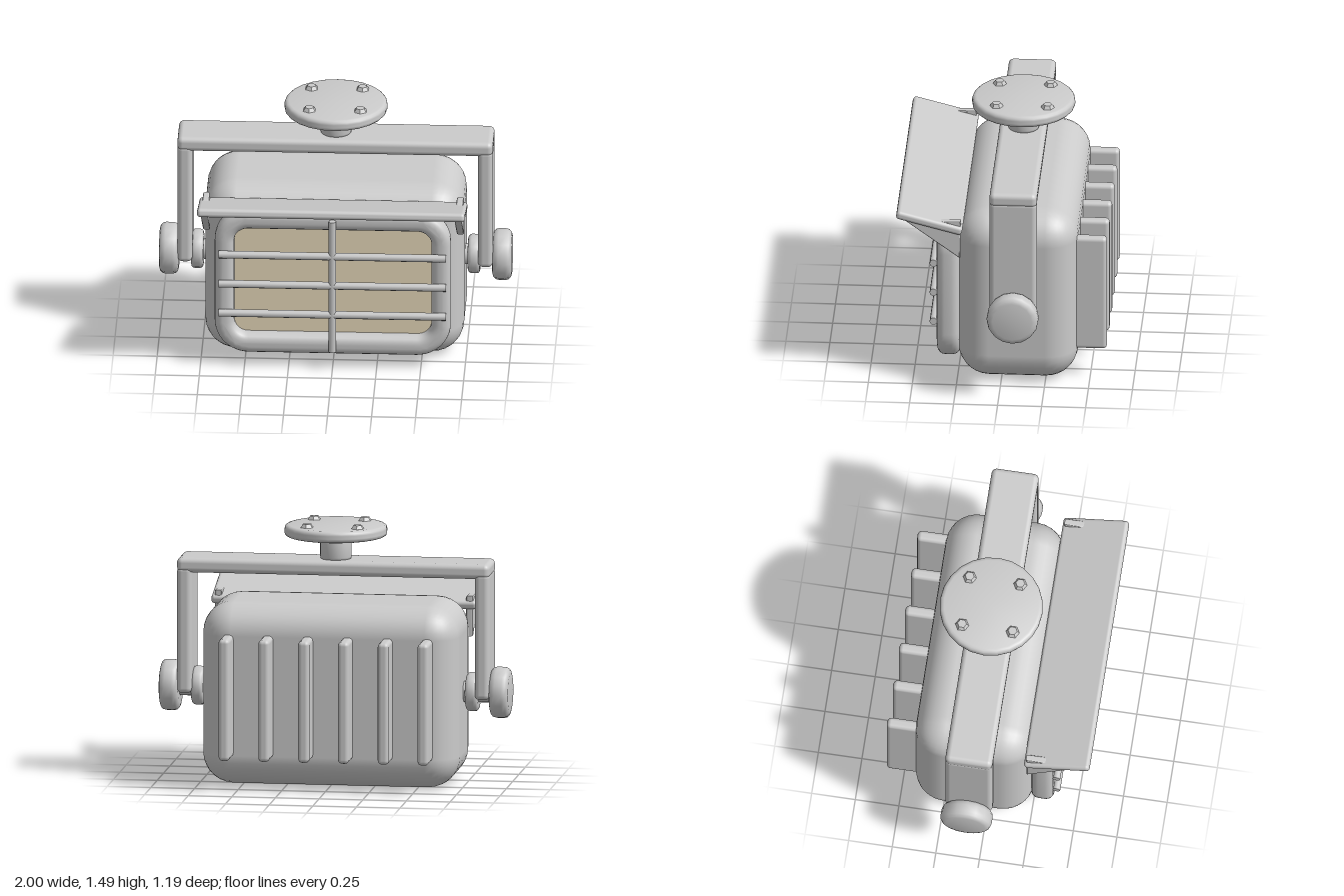
import * as THREE from 'three';
import { toCreasedNormals } from 'three/addons/utils/BufferGeometryUtils.js';
import { RoundedBoxGeometry } from 'three/addons/geometries/RoundedBoxGeometry.js';

const AXIS_Z = -0.085; // depth of the yoke, pivots and mount

export function createModel() {
  const root = new THREE.Group();
  const grey = new THREE.MeshStandardMaterial({ color: 0xcccccc });
  const cream = new THREE.MeshStandardMaterial({ color: 0xe8dabb });

  function add(name, geometry, x, y, z, material = grey) {
    const mesh = new THREE.Mesh(geometry, material);
    mesh.name = name;
    mesh.position.set(x, y, z);
    root.add(mesh);
    return mesh;
  }

  const box = (w, h, d, r, segments = 3) => new RoundedBoxGeometry(w, h, d, segments, r);

  // Disc along y, centred, with rounded rims
  function disc(radius, height, r, sides) {
    const pts = [new THREE.Vector2(0, -height / 2)];
    for (const s of [-1, 1]) {
      for (let i = 0; i <= 3; i++) {
        const a = (s < 0 ? i - 3 : i) * Math.PI / 6;
        pts.push(new THREE.Vector2(radius - r + r * Math.cos(a), s * (height / 2 - r) + r * Math.sin(a)));
      }
    }
    pts.push(new THREE.Vector2(0, height / 2));
    return toCreasedNormals(new THREE.LatheGeometry(pts, sides), 0.7);
  }

  // Rounded rectangle outline, centred
  function roundedRect(w, h, r, target = new THREE.Shape()) {
    const x = w / 2, y = h / 2;
    target.moveTo(-x + r, -y);
    target.lineTo(x - r, -y);
    target.absarc(x - r, -y + r, r, -Math.PI / 2, 0);
    target.lineTo(x, y - r);
    target.absarc(x - r, y - r, r, 0, Math.PI / 2);
    target.lineTo(-x + r, y);
    target.absarc(-x + r, y - r, r, Math.PI / 2, Math.PI);
    target.lineTo(-x, -y + r);
    target.absarc(-x + r, -y + r, r, Math.PI, Math.PI * 1.5);
    return target;
  }

  // Housing
  add('housing', box(1.47, 1.045, 0.68, 0.18, 4), 0, 0.5225, -0.09);

  // Front bezel: rounded ring
  const ring = roundedRect(1.25, 0.80, 0.15);
  ring.holes.push(roundedRect(1.21, 0.745, 0.125, new THREE.Path()));
  const bezel = new THREE.ExtrudeGeometry(ring, {
    depth: 0.04, bevelSize: 0.045, bevelThickness: 0.045, bevelSegments: 4, curveSegments: 6,
  });
  add('bezel', toCreasedNormals(bezel, 0.7), 0, 0.525, 0.285);

  // Lens
  const lens = new THREE.ExtrudeGeometry(roundedRect(1.2, 0.73, 0.1), { depth: 0.06, bevelEnabled: false });
  add('lens', lens, 0, 0.5275, 0.24, cream);

  // Guard bars
  for (const y of [0.345, 0.527, 0.71]) {
    add('guardBar', new THREE.CylinderGeometry(0.022, 0.022, 1.29, 10), 0, y, 0.387).rotation.z = Math.PI / 2;
  }
  add('guardPost', new THREE.CylinderGeometry(0.021, 0.021, 0.815, 10), 0, 0.5225, 0.388);

  // Visor and its side gussets
  add('visor', box(1.52, 0.05, 0.385, 0.02), 0, 1.013, 0.405).rotation.x = -0.255;
  const gusset = new THREE.Shape();
  gusset.moveTo(-0.235, 0.80);
  gusset.lineTo(-0.235, 1.015);
  gusset.lineTo(-0.53, 1.015);
  const gussetGeometry = new THREE.ExtrudeGeometry(gusset, {
    depth: 0.02, bevelSize: 0.008, bevelThickness: 0.01, bevelSegments: 2,
  });
  for (const s of [-1, 1]) {
    add('visorGusset', gussetGeometry, s * 0.72 - 0.01, 0, 0).rotation.y = Math.PI / 2;
  }

  // Cooling fins
  for (let i = 0; i < 6; i++) {
    add('coolingFin', box(0.064, 0.70, 0.22, 0.024, 2), (i - 2.5) * 0.228, 0.525, -0.485);
  }

  // Yoke with pivot knobs
  add('yokeBar', box(1.79, 0.085, 0.27, 0.03), 0, 1.2325, -0.08);
  for (const s of [-1, 1]) {
    add('yokeArm', box(0.085, 0.73, 0.27, 0.03), s * 0.8525, 0.86, -0.08);
    add('pivotKnob', disc(0.147, 0.11, 0.035, 16), s * 0.945, 0.525, -0.082).rotation.z = Math.PI / 2;
    add('pivotWasher', disc(0.112, 0.07, 0.022, 16), s * 0.785, 0.525, -0.082).rotation.z = Math.PI / 2;
    add('pivotShaft', new THREE.CylinderGeometry(0.06, 0.06, 0.2, 12), s * 0.8, 0.525, -0.082).rotation.z = Math.PI / 2;
  }

  // Ceiling mount
  add('mountStem', disc(0.09, 0.16, 0.022, 20), 0, 1.345, AXIS_Z);
  add('mountPlate', disc(0.293, 0.067, 0.025, 24), 0, 1.437, AXIS_Z);
  for (const x of [-0.145, 0.145]) {
    for (const z of [-0.145, 0.145]) {
      const bolt = new THREE.CylinderGeometry(0.026, 0.04, 0.022, 6);
      add('mountBolt', toCreasedNormals(bolt, 0.3), x, 1.48, AXIS_Z + z);
    }
  }
  return root;
}
